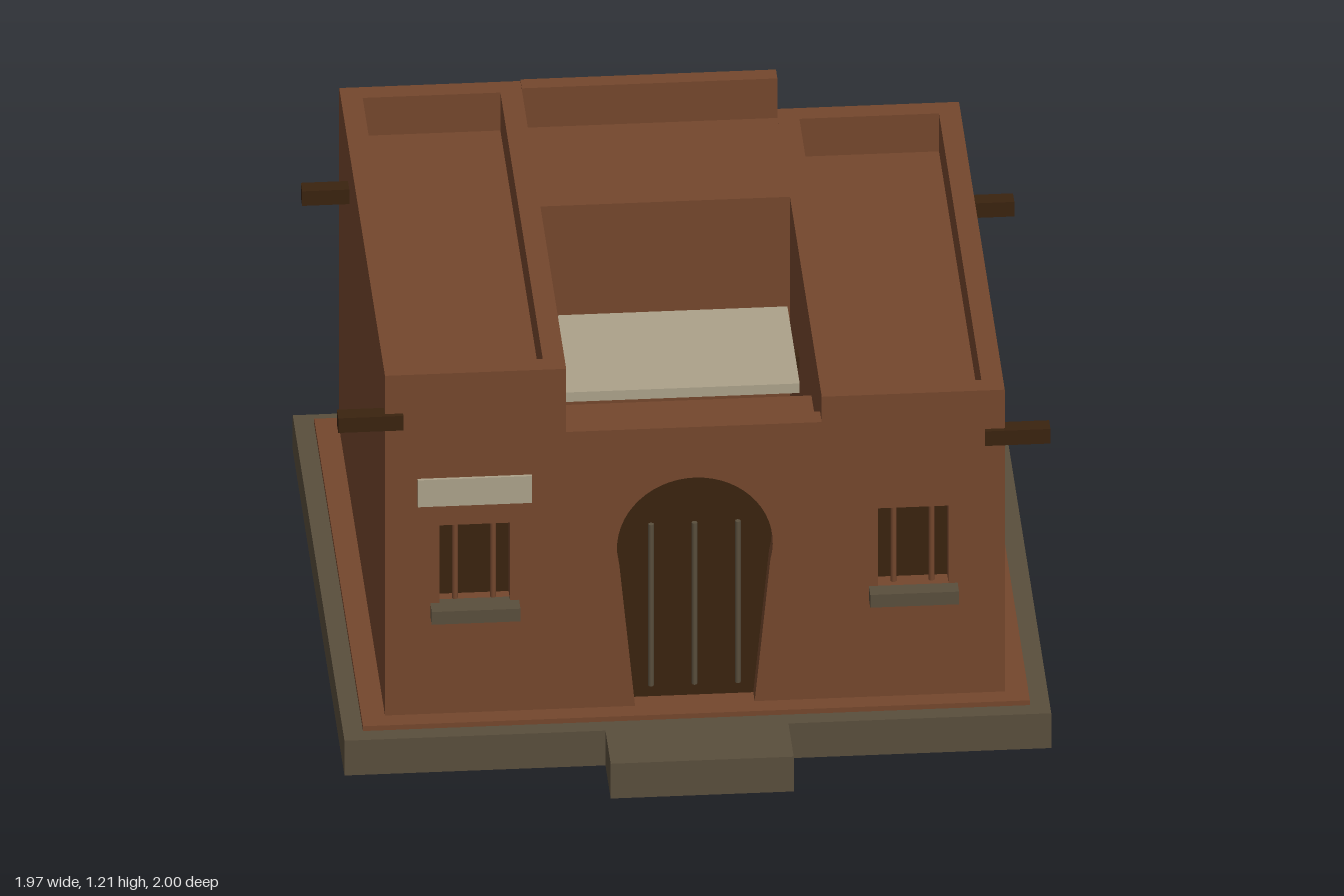
import * as THREE from 'three';

const mat = (name, color) => {
  const m = new THREE.MeshStandardMaterial({ color });
  m.name = name;
  return m;
};

export function createModel() {
  const root = new THREE.Group();
  root.name = 'courtyardHouse';
  const clay = mat('clay', 0x74472d);
  const stone = mat('stone', 0x594e3c);
  const wood = mat('darkWood', 0x3a230f);
  const plaster = mat('palePlaster', 0xaca28a);

  const add = (name, geo, material) => {
    const m = new THREE.Mesh(geo, material);
    m.name = name;
    root.add(m);
    return m;
  };
  // Box given by its limits on each axis
  const box = (name, material, x0, x1, y0, y1, z0, z1) => {
    const m = add(name, new THREE.BoxGeometry(x1 - x0, y1 - y0, z1 - z0), material);
    m.position.set((x0 + x1) / 2, (y0 + y1) / 2, (z0 + z1) / 2);
  };
  const extrude = (name, shape, material, z0, z1) => {
    const geo = new THREE.ExtrudeGeometry(shape, { depth: z1 - z0, bevelEnabled: false });
    geo.translate(0, 0, z0);
    add(name, geo, material);
  };

  const floorY = 0.125, zBack = -0.895, zIn = 0.65, zFront = 0.71;

  // Plinth, entrance step and floor slab
  box('plinth', stone, -0.975, 0.975, 0, 0.11, -1, 0.815);
  box('entranceStep', stone, -0.255, 0.25, 0, 0.11, 0.815, 1);
  box('floorSlab', clay, -0.92, 0.92, 0.11, floorY, -0.95, 0.765);

  // Horseshoe door outline, from bottom right over the arch to bottom left
  const doorPoints = [new THREE.Vector2(0.165, floorY)];
  for (let i = 0; i <= 32; i++) {
    const a = -0.25 + (Math.PI + 0.5) * (i / 32);
    doorPoints.push(new THREE.Vector2(0.215 * Math.cos(a), 0.625 + 0.215 * Math.sin(a)));
  }
  doorPoints.push(new THREE.Vector2(-0.165, floorY));

  // Front wall with stepped top, door notch and window holes
  const wall = new THREE.Shape([
    ...[...doorPoints].reverse(),
    ...[[0.855, floorY], [0.855, 1.08], [0.35, 1.08], [0.35, 1], [-0.355, 1],
      [-0.355, 1.2], [-0.855, 1.2], [-0.855, floorY]].map(p => new THREE.Vector2(...p)),
  ]);
  const windows = [[-0.705, -0.51], [0.505, 0.7]];
  for (const [a, b] of windows) {
    wall.holes.push(new THREE.Path([
      new THREE.Vector2(a, 0.475), new THREE.Vector2(a, 0.72),
      new THREE.Vector2(b, 0.72), new THREE.Vector2(b, 0.475),
    ]));
  }
  extrude('frontWall', wall, clay, zIn, zFront);

  // Door leaf with upright bars
  extrude('door', new THREE.Shape(doorPoints), wood, zIn, zIn + 0.01);
  for (const x of [-0.12, 0, 0.12]) {
    const bar = add('doorBar', new THREE.CylinderGeometry(0.008, 0.008, 0.51, 8), stone);
    bar.position.set(x, 0.435, 0.695);
  }

  // Windows with bars and sills
  for (const [a, b] of windows) {
    box('windowPanel', wood, a, b, 0.475, 0.72, zIn, zIn + 0.009);
    for (const x of [a + 0.045, b - 0.045]) {
      const bar = add('windowBar', new THREE.CylinderGeometry(0.008, 0.008, 0.245, 8), clay);
      bar.position.set(x, 0.5975, 0.685);
    }
    box('windowSill', stone, a - 0.025, b + 0.025, 0.435, 0.475, zFront - 0.02, 0.76);
  }

  // Side wings: sunken flat roof inside a parapet
  const wing = (side, x0, x1, top) => {
    const roof = top - 0.12;
    box(side + 'Wing', clay, x0, x1, floorY, roof, zBack, zIn);
    box(side + 'Parapet', clay, x0, x0 + 0.06, roof, top, zBack, zIn);
    box(side + 'Parapet', clay, x1 - 0.06, x1, roof, top, zBack, zIn);
    box(side + 'BackParapet', clay, x0 + 0.06, x1 - 0.06, roof, top, zBack, zBack + 0.06);
  };
  wing('right', -0.855, -0.355, 1.2);
  wing('left', 0.35, 0.855, 1.08);

  // Rooms in front of and behind the open court
  box('entranceRoom', clay, -0.355, 0.35, floorY, 0.88, 0.35, zIn);
  box('backRoom', clay, -0.355, 0.35, floorY, 1.08, -0.845, -0.405);
  box('backWall', clay, -0.355, 0.35, floorY, 1.205, zBack, -0.845);

  // Court canopy on its beam
  box('canopy', plaster, -0.33, 0.325, 0.835, 0.865, -0.175, 0.255);
  box('canopyBeam', wood, -0.345, 0.34, 0.795, 0.835, 0.015, 0.055);

  // Projecting roof beams
  for (const [z0, z1] of [[0.675, 0.724], [-0.59, -0.542]]) {
    box('roofBeam', wood, -0.985, -0.805, 1.033, 1.079, z0, z1);
    box('roofBeam', wood, 0.8, 0.98, 0.912, 0.958, z0, z1);
  }

  // Blank wall plaque
  box('plaque', plaster, -0.765, -0.45, 0.785, 0.87, zFront, zFront + 0.009);

  return root;
}
